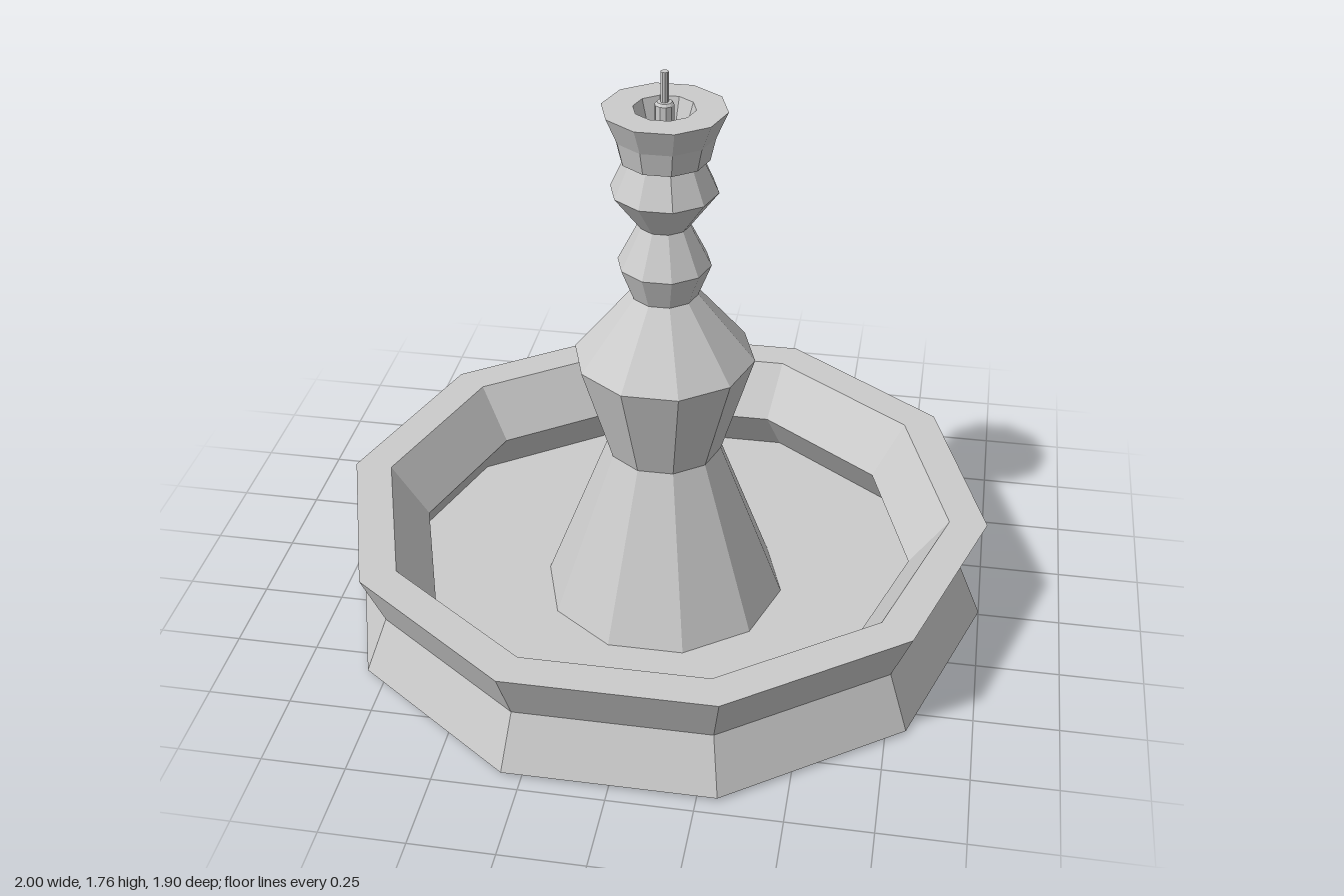
import * as THREE from 'three';

const material = new THREE.MeshStandardMaterial({ color: 0xcccccc, flatShading: true });

// Ten-sided turned part with a corner on the x axis; profile runs up the outside
function turned(name, profile, sides = 10) {
  const points = profile.map(([r, y]) => new THREE.Vector2(r, y));
  const mesh = new THREE.Mesh(new THREE.LatheGeometry(points, sides, Math.PI / 2), material);
  mesh.name = name;
  return mesh;
}

export function createModel() {
  const fountain = new THREE.Group();
  fountain.name = 'fountain';

  // Pool: waisted wall outside and inside, closed by a thin floor
  fountain.add(turned('basin', [
    [0, 0], [1, 0.01], [0.93, 0.18], [1, 0.345],
    [0.885, 0.345], [0.77, 0.18], [0.885, 0.015], [0, 0.015],
  ]));

  // Central pillar with stacked bulges
  fountain.add(turned('column', [
    [0.375, 0.015], [0.175, 0.54], [0.273, 0.86], [0.1, 1.07],
    [0.139, 1.17], [0.076, 1.295], [0.158, 1.405], [0.11, 1.51], [0, 1.51],
  ]));

  // Small flared bowl on top, hollow inside
  fountain.add(turned('topBowl', [
    [0, 1.505], [0.131, 1.505], [0.147, 1.575], [0.181, 1.655],
    [0.09, 1.655], [0.068, 1.58], [0, 1.58],
  ]));

  // Water spout: collar and thin pipe
  fountain.add(turned('spoutCollar', [
    [0.028, 1.575], [0.028, 1.667], [0.022, 1.675], [0, 1.675],
  ]));
  fountain.add(turned('spoutPipe', [[0.012, 1.67], [0.012, 1.765], [0, 1.765]]));

  return fountain;
}
